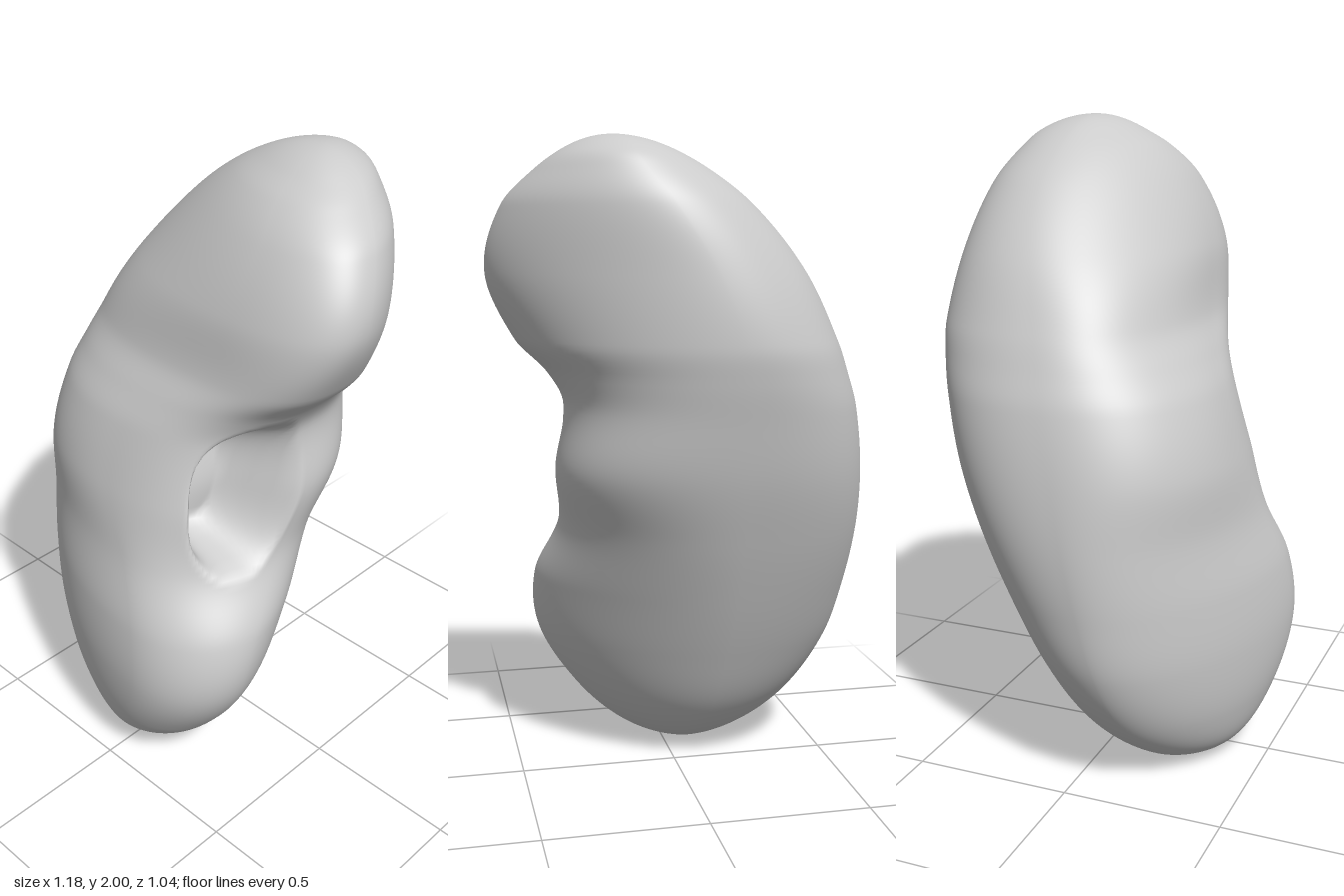
import * as THREE from 'three';
import { mergeVertices } from 'three/addons/utils/BufferGeometryUtils.js';

const { lerp, smoothstep } = THREE.MathUtils;

// Horizontal cross-sections: the extremes of each section and where they lie.
// y, xMin, xMax, zMin, zMax, z at xMin, z at xMax, x at zMin, x at zMax
const SECTIONS = [
  [0.00, -0.06, -0.06, 0.25, 0.25, 0.25, 0.25, -0.06, -0.06],
  [0.05, -0.25, 0.12, 0.08, 0.40, 0.22, 0.27, -0.08, -0.03],
  [0.20, -0.43, 0.29, -0.08, 0.485, 0.17, 0.29, -0.11, 0.07],
  [0.40, -0.54, 0.41, -0.19, 0.52, 0.12, 0.30, -0.13, 0.15],
  [0.60, -0.578, 0.425, -0.28, 0.50, 0.08, 0.24, -0.14, 0.13],
  [0.80, -0.59, 0.362, -0.36, 0.44, 0.04, 0.08, -0.14, 0.04],
  [1.00, -0.577, 0.38, -0.43, 0.40, 0.00, -0.03, -0.14, -0.08],
  [1.20, -0.54, 0.355, -0.48, 0.34, -0.06, -0.06, -0.14, -0.06],
  [1.30, -0.505, 0.405, -0.502, 0.29, -0.09, -0.04, -0.13, 0.02],
  [1.40, -0.465, 0.50, -0.515, 0.24, -0.12, -0.01, -0.11, 0.14],
  [1.60, -0.36, 0.585, -0.50, 0.20, -0.17, 0.01, -0.03, 0.24],
  [1.80, -0.19, 0.54, -0.46, 0.11, -0.20, -0.06, 0.09, 0.28],
  [1.90, -0.06, 0.45, -0.405, 0.025, -0.20, -0.13, 0.16, 0.26],
  [1.95, 0.03, 0.385, -0.36, -0.05, -0.20, -0.17, 0.19, 0.25],
  [2.00, 0.23, 0.23, -0.20, -0.20, -0.20, -0.20, 0.23, 0.23],
];
// Parameter that keeps the poles round
const toS = (y) => Math.acos(1 - y) / Math.PI;
const KEYS = SECTIONS.map((r) => toS(r[0]));

// Slope of column c at key k
function slope(k, c) {
  const a = Math.max(k - 1, 0), b = Math.min(k + 1, KEYS.length - 1);
  return (SECTIONS[b][c] - SECTIONS[a][c]) / (KEYS[b] - KEYS[a]);
}

// Smooth cubic interpolation of a whole section at parameter s
function sectionAt(s) {
  let k = 0;
  while (k < KEYS.length - 2 && s > KEYS[k + 1]) k++;
  const h = KEYS[k + 1] - KEYS[k], t = (s - KEYS[k]) / h;
  const t2 = t * t, t3 = t2 * t;
  return SECTIONS[0].map((_, c) =>
    (2 * t3 - 3 * t2 + 1) * SECTIONS[k][c] + (t3 - 2 * t2 + t) * h * slope(k, c) +
    (3 * t2 - 2 * t3) * SECTIONS[k + 1][c] + (t3 - t2) * h * slope(k + 1, c));
}

// Corner exponent of a quadrant: below 1 is boxier, above 1 more pointed
const hump = (y, mid, width) => Math.exp(-(((y - mid) / width) ** 2));
function corner(y, east, front) {
  if (east && front) return lerp(1, 0.83, smoothstep(y, 0.7, 1.0)) - 0.13 * hump(y, 1.43, 0.12);
  if (east) return 1.23 - 0.32 * hump(y, 1.04, 0.39);
  if (front) return 1.16 - 0.29 * hump(y, 1.2, 0.55) - 0.14 * hump(y, 1.46, 0.16);
  return 1.02 - 0.25 * hump(y, 0.97, 0.5);
}

// Point on the body; each quadrant of a section is a quarter superellipse
function bodyPoint(s, angle) {
  const y = 1 - Math.cos(s * Math.PI);
  const [, x0, x1, z0, z1, zW, zE, xN, xS] = sectionAt(s);
  const c = Math.cos(angle), n = Math.sin(angle);
  const east = c > 0, front = n > 0, p = corner(y, east, front);
  const xMid = front ? xS : xN, zMid = east ? zE : zW;
  let x = xMid + Math.abs(c) ** p * ((east ? x1 : x0) - xMid);
  let z = zMid + Math.abs(n) ** p * ((front ? z1 : z0) - zMid);

  // Slanted oval hollow pressed into the inner side, undercutting the front lip
  if (east) {
    const dz = Math.abs(z - 0.175 + 0.22 * (y - 1.02)) / 0.155;
    const dy = Math.abs(y - 1.02) / 0.255;
    const press = 1 - smoothstep((dz ** 2.5 + dy ** 2.5) ** 0.4, 0.5, 1);
    x -= 0.23 * press;
    z += 0.03 * press;
  }
  return [x, y, z];
}

export function createModel() {
  const rings = 180, sides = 180;
  const positions = [], index = [];
  for (let i = 0; i <= rings; i++) {
    for (let j = 0; j < sides; j++) {
      positions.push(...bodyPoint(i / rings, (j / sides) * Math.PI * 2));
      if (i === rings) continue;
      const a = i * sides + j, b = i * sides + ((j + 1) % sides);
      index.push(a, a + sides, b, b, a + sides, b + sides);
    }
  }
  let geometry = new THREE.BufferGeometry();
  geometry.setAttribute('position', new THREE.Float32BufferAttribute(positions, 3));
  geometry.setIndex(index);
  geometry = mergeVertices(geometry, 1e-5);
  geometry.computeVertexNormals();

  const body = new THREE.Mesh(geometry, new THREE.MeshStandardMaterial({ color: 0xcccccc }));
  body.name = 'kidneyBody';
  const group = new THREE.Group();
  group.name = 'kidney';
  group.add(body);
  return group;
}
